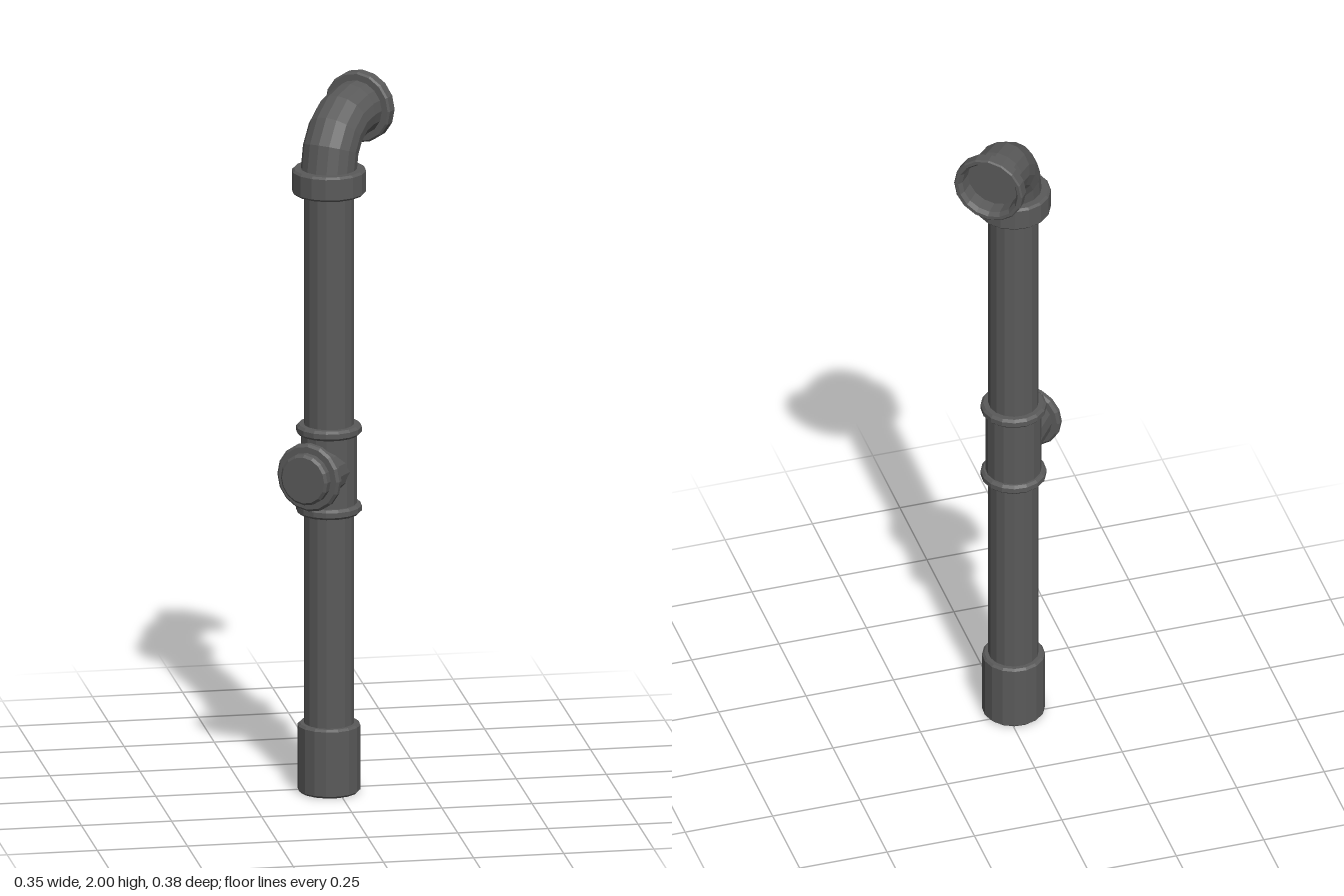
import * as THREE from 'three';

const SIDES = 16;

// Gives every facet its own normal
function faceted(geometry) {
  const flat = geometry.toNonIndexed();
  flat.computeVertexNormals();
  return flat;
}

// Turned part from [radius, height] pairs
function turned(profile) {
  return new THREE.LatheGeometry(profile.map(([r, y]) => new THREE.Vector2(r, y)), SIDES);
}

// Closed ring with softened rims
function collarProfile(y0, y1, r, bevel, inner) {
  return [[inner, y0], [r - bevel, y0], [r, y0 + bevel], [r, y1 - bevel], [r - bevel, y1], [inner, y1]];
}

export function createModel() {
  const model = new THREE.Group();
  model.name = 'drainPipe';
  const metal = new THREE.MeshStandardMaterial({ color: 0x5a5a5a });
  metal.name = 'darkGrey';

  const add = (name, geometry) => {
    const mesh = new THREE.Mesh(faceted(geometry), metal);
    mesh.name = name;
    model.add(mesh);
  };

  // Upright run: socket, pipe, tee body and collars
  add('baseSocket', turned(collarProfile(0, 0.195, 0.086, 0.006, 0)));
  add('lowerPipe', turned([[0.069, 0.19], [0.069, 0.81]]));
  add('upperPipe', turned([[0.069, 1.03], [0.069, 1.71]]));
  add('teeBody', turned([[0.077, 0.8], [0.077, 1.035]]));
  add('teeLowerCollar', turned(collarProfile(0.792, 0.82, 0.09, 0.007, 0.06)));
  add('teeUpperCollar', turned(collarProfile(1.016, 1.044, 0.09, 0.007, 0.06)));
  add('topCollar', turned(collarProfile(1.7, 1.77, 0.102, 0.006, 0.06)));

  // Side branch closed with a plug
  const branchParts = {
    branchPipe: [[0.074, 0], [0.074, 0.11]],
    branchCollar: collarProfile(0.102, 0.128, 0.096, 0.007, 0.05),
    branchPlug: [[0.072, 0.12], [0.072, 0.146], [0.065, 0.153], [0, 0.153]],
  };
  for (const [name, profile] of Object.entries(branchParts)) {
    add(name, turned(profile).rotateX(Math.PI / 2).translate(0, 0.92, 0));
  }

  // Quarter bend, rising from the top collar and turning to the back
  add('elbow', new THREE.TorusGeometry(0.13, 0.077, SIDES, 4, Math.PI / 2)
    .translate(-0.13, 0, 0).rotateY(-Math.PI / 2).translate(0, 1.77, 0));

  // Outlet with a stepped flange and a shallow bore
  const outletParts = {
    outletPipe: [[0.077, 0.125], [0.077, 0.17]],
    outletFlange: [[0.07, 0.164], [0.095, 0.164], [0.1, 0.169], [0.1, 0.196], [0.096, 0.2],
      [0.087, 0.2], [0.079, 0.188], [0.077, 0.15], [0, 0.15]],
  };
  for (const [name, profile] of Object.entries(outletParts)) {
    add(name, turned(profile).rotateX(-Math.PI / 2).translate(0, 1.9, 0));
  }

  // Turn the outlet to the back left
  model.rotation.y = -0.656;
  model.position.set(-0.024, 0, 0.026);
  return model;
}
